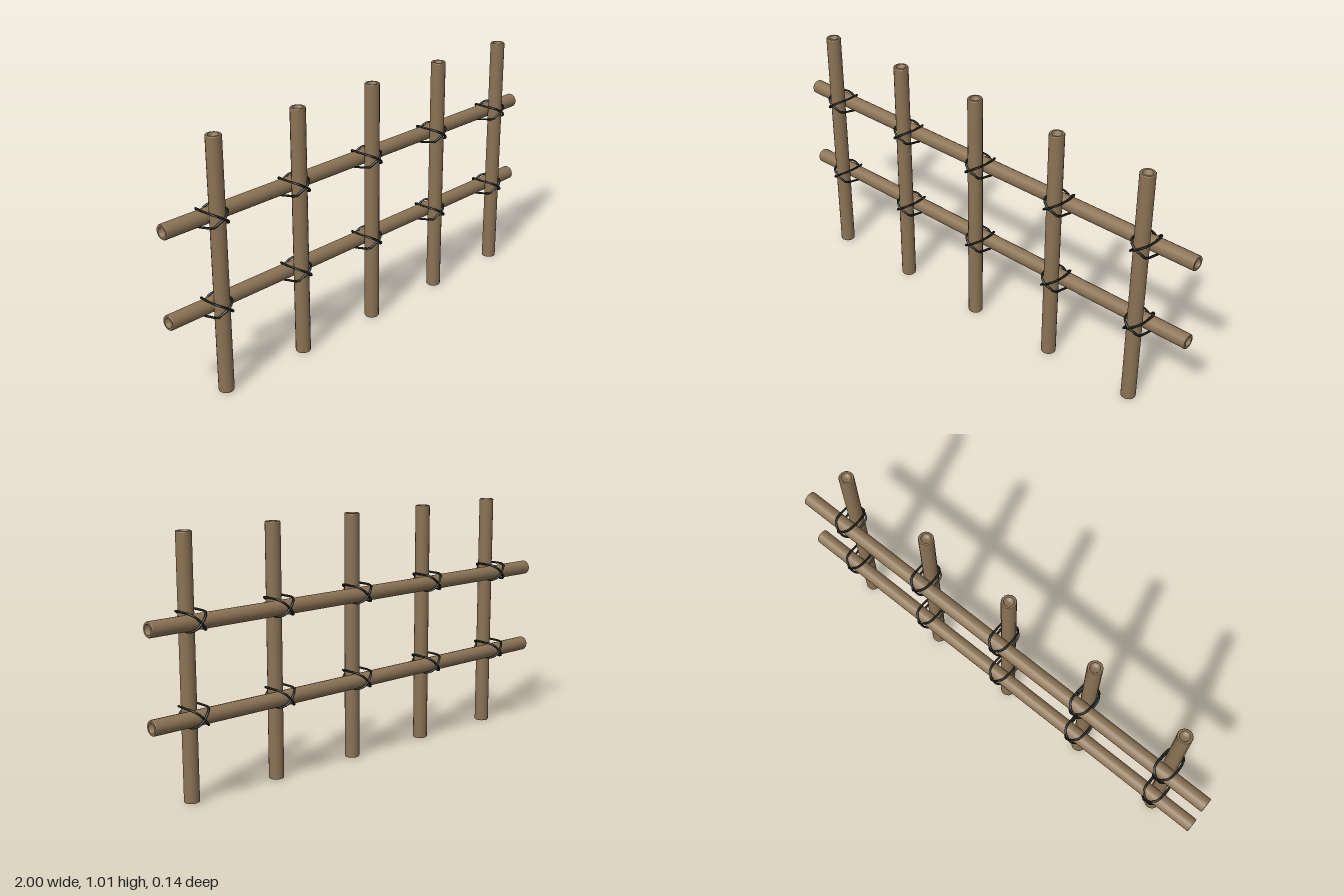
import * as THREE from 'three';

const R = 0.03;                       // pole radius
const POST_HEIGHT = 1.01;
const RAIL_HEIGHTS = [0.337, 0.69];
const POST_XS = [-0.8, -0.4, 0, 0.4, 0.8];

// Pole along y with a shallow cup in each end; doubled points keep edges sharp
function poleGeometry(length) {
  const h = length / 2, depth = 0.012;
  const half = [[0, h - depth], [0.015, h - depth], [0.02, h], [0.02, h],
    [0.028, h], [0.028, h], [R, h - 0.003], [R, h - 0.003]];
  const profile = [
    ...half.map(([r, y]) => new THREE.Vector2(r, -y)),
    ...half.slice().reverse().map(([r, y]) => new THREE.Vector2(r, y)),
  ];
  return new THREE.LatheGeometry(profile, 16);
}

// One closed rope loop, slanted across the joint; side = 1 or -1 mirrors it
function ropeGeometry(side) {
  const points = [
    [0, 0.013, 0.066], [0.02, 0.001, 0.06], [0.034, -0.014, 0.05],
    [0.039, -0.025, 0.005], [0.036, -0.032, -0.038], [0.018, -0.02, -0.062],
    [0, 0, -0.067], [-0.018, 0.02, -0.062], [-0.034, 0.033, -0.045],
    [-0.039, 0.035, 0], [-0.034, 0.033, 0.045], [-0.02, 0.026, 0.06],
  ].map(([x, y, z]) => new THREE.Vector3(x * side, y, z));
  const curve = new THREE.CatmullRomCurve3(points, true);
  return new THREE.TubeGeometry(curve, 40, 0.0045, 6, true);
}

export function createModel() {
  const wood = new THREE.MeshStandardMaterial({ name: 'wood', color: 0x8b7355 });
  const rope = new THREE.MeshStandardMaterial({ name: 'darkRope', color: 0x1c1c17 });
  const model = new THREE.Group();
  model.name = 'fence';

  const add = (parent, geometry, material, name, x, y, z) => {
    const mesh = new THREE.Mesh(geometry, material);
    mesh.name = name;
    mesh.position.set(x, y, z);
    parent.add(mesh);
    return mesh;
  };

  // Upright posts in front
  const postGeometry = poleGeometry(POST_HEIGHT);
  for (const x of POST_XS) add(model, postGeometry, wood, 'post', x, POST_HEIGHT / 2, R);

  // Horizontal rails behind
  const railGeometry = poleGeometry(2).rotateZ(Math.PI / 2);
  for (const y of RAIL_HEIGHTS) add(model, railGeometry, wood, 'rail', 0, y, -R);

  // Crossed rope lashing at every joint
  const loops = [ropeGeometry(1), ropeGeometry(-1)];
  for (const y of RAIL_HEIGHTS) {
    for (const x of POST_XS) {
      const lashing = new THREE.Group();
      lashing.name = 'lashing';
      lashing.position.set(x, y, 0);
      for (const loop of loops) add(lashing, loop, rope, 'ropeLoop', 0, 0, 0);
      model.add(lashing);
    }
  }
  return model;
}
